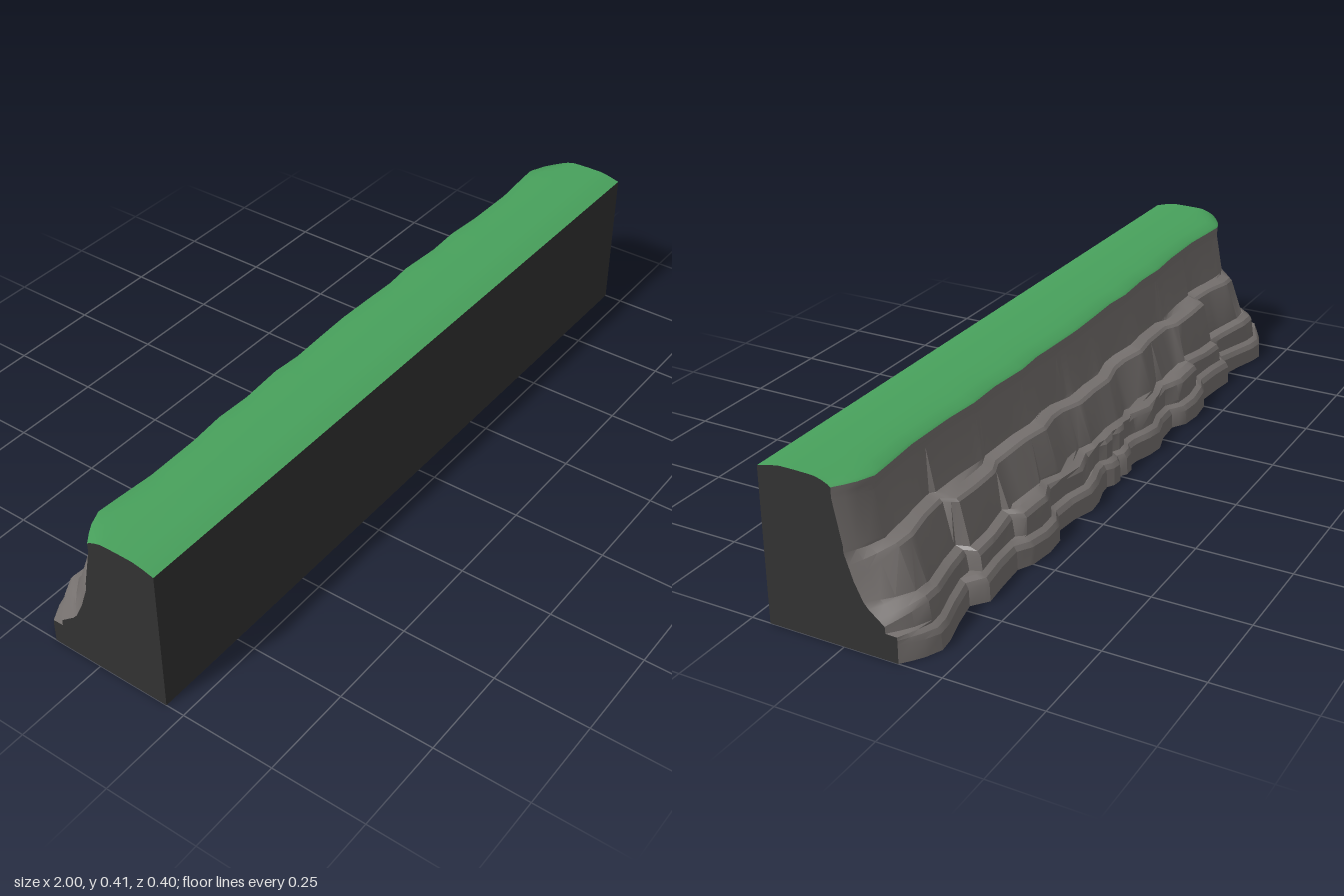
import * as THREE from 'three';
import { toCreasedNormals } from 'three/addons/utils/BufferGeometryUtils.js';

// How far each rock tier is set back along half the length: [distance from centre, setback].
const SETBACK = {
  base: [[0, .028], [.02, .016], [.05, .018], [.07, .03], [.1, .027], [.15, .012], [.2, .006], [.26, .024], [.33, .03],
    [.37, .006], [.43, 0], [.5, .008], [.54, .028], [.62, .022], [.69, .014], [.73, .045], [.8, .03], [.87, .01], [.91, .005], [1, .005]],
  middle: [[0, .018], [.09, .015], [.13, .03], [.2, .01], [.27, .012], [.33, .03], [.39, .004], [.49, .006], [.51, .035],
    [.6, .022], [.68, .02], [.69, .052], [.76, .04], [.86, .014], [.91, .012], [1, .012]],
  upper: [[0, .008], [.08, .006], [.15, .022], [.2, .02], [.27, .004], [.35, .016], [.47, .024], [.51, .008],
    [.6, .004], [.68, .002], [.7, .034], [.78, .024], [.86, .008], [.91, .012], [.95, .014], [1, .014]],
  top: [[0, .001], [.1, .004], [.2, .008], [.28, .002], [.4, .01], [.5, .006], [.6, .014], [.75, .016], [.85, .008], [.91, .004], [.975, .004], [1, .004]],
};
const NAMES = Object.keys(SETBACK);

// Rock profile of the most prominent section, from the foot upward: [y, z].
const PROFILE = {
  base: [[0, -.2], [.045, -.198], [.058, -.19], [.066, -.176]],
  middle: [[.068, -.183], [.11, -.176], [.121, -.168], [.128, -.148]],
  upper: [[.131, -.143], [.23, -.106], [.237, -.098], [.243, -.07]],
  top: [[.247, -.063], [.355, -.04], [.373, -.044], [.389, -.045]],
};

// Smoother, receding rock profile at both cut ends, row for row.
const END_PROFILE = {
  base: [[0, -.14], [.045, -.14], [.058, -.14], [.066, -.139]],
  middle: [[.067, -.11], [.084, -.109], [.095, -.095], [.115, -.07]],
  upper: [[.13, -.057], [.175, -.035], [.21, -.023], [.238, -.013]],
  top: [[.255, -.0125], [.362, .0095], [.373, .01], [.389, .01]],
};

// Linear lookup in a setback list.
function lookup(list, x) {
  for (let i = 1; i < list.length; i++) {
    const [x0, v0] = list[i - 1], [x1, v1] = list[i];
    if (x <= x1) return THREE.MathUtils.lerp(v0, v1, (x - x0) / (x1 - x0));
  }
  return list[list.length - 1][1];
}

// Cross-section points [y, z] of the stepped rock face at x.
function rockSection(x) {
  const a = Math.abs(x), points = [];
  const blend = Math.max(0, (a - .91) / .09) ** 1.4;
  let limit = -1;
  NAMES.forEach((name, tier) => {
    const setback = lookup(SETBACK[name], a);
    const wave = tier < 3 ? .005 * Math.sin(a * 13 + tier * 2) : 0;
    PROFILE[name].forEach(([y, z], row) => {
      const lift = row > 0 ? wave : tier > 0 ? .3 * wave : 0;
      const depth = tier === 3 && row > 1 ? z + setback : Math.max(z + setback, limit);
      const [endY, endZ] = END_PROFILE[name][row];
      points.push([THREE.MathUtils.lerp(y + lift, endY, blend), THREE.MathUtils.lerp(depth, endZ, blend)]);
      limit = Math.max(limit, depth);
    });
  });
  return points;
}

// Rounded turf cross-section from the cliff edge to the straight front.
function grassSection(x) {
  const [y, z] = rockSection(x).at(-1);
  const points = [[y, z], [.394, z + .006]];
  for (const t of [.35, .7, 1]) {
    points.push([.394 + .013 * Math.sin(t * Math.PI / 2), THREE.MathUtils.lerp(z + .006, .06, t)]);
  }
  points.push([.408, .1], [.408, .14], [.403, .17], [.395, .2]);
  return points;
}

// Skin a cross-section along the given stations.
function skin(section, stations, crease) {
  const position = [], index = [];
  const rows = section(0).length;
  stations.forEach((x, i) => {
    for (const [y, z] of section(x)) position.push(x, y, z);
    if (i === 0) return;
    for (let j = 0; j < rows - 1; j++) {
      const a = (i - 1) * rows + j, b = a + rows;
      index.push(a, a + 1, b, b, a + 1, b + 1);
    }
  });
  const geometry = new THREE.BufferGeometry();
  geometry.setAttribute('position', new THREE.Float32BufferAttribute(position, 3));
  geometry.setIndex(index);
  return toCreasedNormals(geometry, crease);
}

export function createModel() {
  const group = new THREE.Group();
  // The shell is open underneath, so its inside shows too
  const material = (name, color) => {
    const m = new THREE.MeshStandardMaterial({ color, side: THREE.DoubleSide });
    m.name = name;
    return m;
  };
  const rock = material('rock grey', 0x76716f);
  const grass = material('grass green', 0x48a15c);
  const dark = material('dark grey', 0x323232);
  const add = (name, geometry, mat) => {
    const mesh = new THREE.Mesh(geometry, mat);
    mesh.name = name;
    group.add(mesh);
    return mesh;
  };

  // Stations at every bend of every tier, mirrored about the centre
  const bends = NAMES.flatMap((name) => SETBACK[name].map(([x]) => x));
  const stations = [...new Set(bends.flatMap((x) => [x, x === 0 ? 0 : -x]))].sort((a, b) => a - b);

  add('rockFace', skin(rockSection, stations, .45), rock);
  add('grassTop', skin(grassSection, stations, .7), grass);

  // Flat front wall
  const front = add('frontWall', new THREE.PlaneGeometry(2, .395), dark);
  front.position.set(0, .1975, .2);

  // Flat cut ends
  const outline = [...rockSection(1), ...grassSection(1).slice(1), [0, .2]];
  for (const side of [1, -1]) {
    const shape = new THREE.Shape(outline.map(([y, z]) => new THREE.Vector2(-side * z, y)));
    const end = add(side > 0 ? 'leftEnd' : 'rightEnd', new THREE.ShapeGeometry(shape), dark);
    end.rotation.y = side * Math.PI / 2;
    end.position.x = side;
  }
  return group;
}
